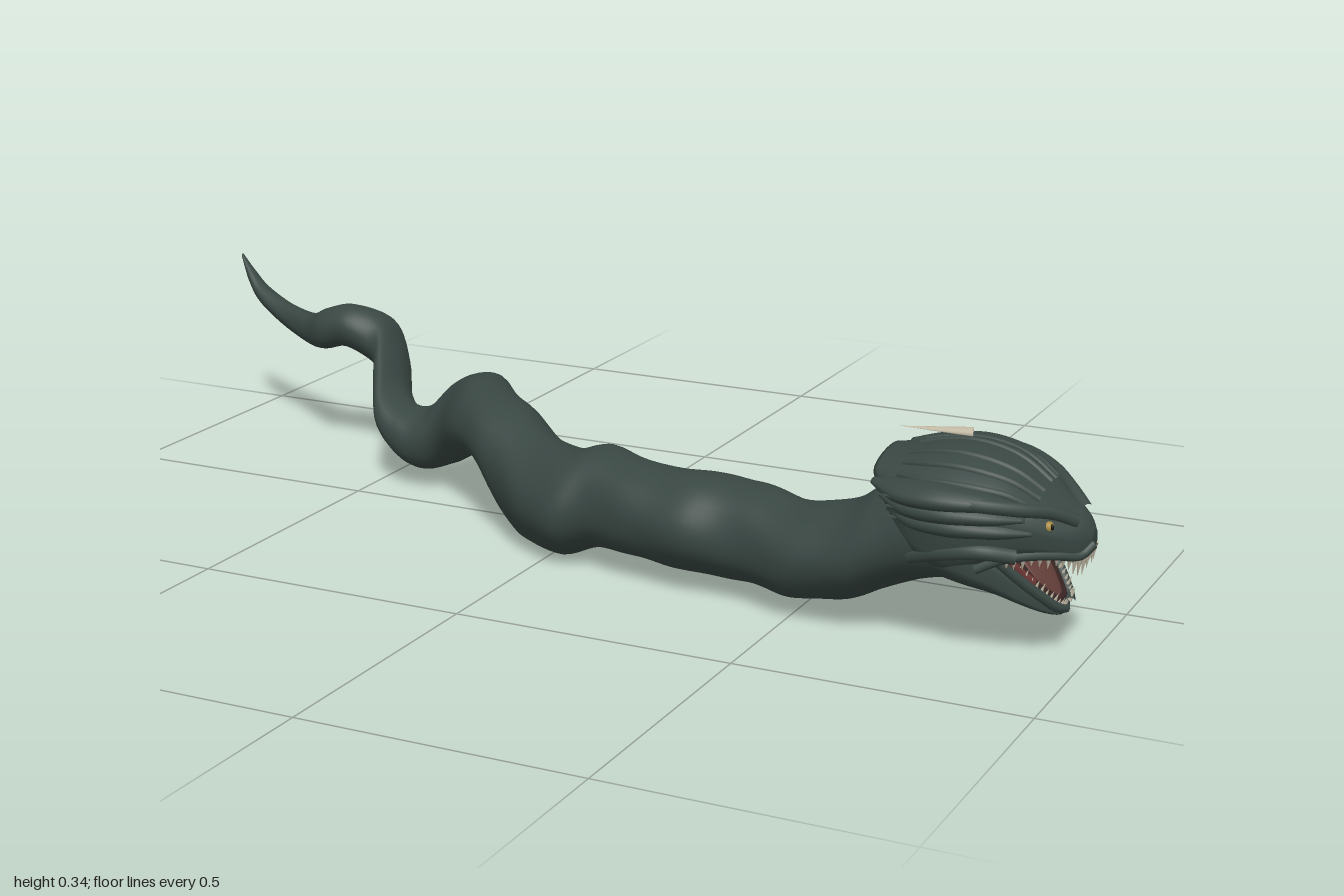
import * as THREE from 'three';

const mat = (name, color) => {
  const m = new THREE.MeshStandardMaterial({ color });
  m.name = name;
  return m;
};
const skin = mat('dark green skin', 0x394743);
const flesh = mat('mouth flesh', 0x643f3a);
const cheekRed = mat('cheek red', 0x6a3634);
const throat = mat('dark throat', 0x3a2625);
const ivory = mat('tooth ivory', 0xc4bba6);
const amber = mat('amber eye', 0xa8893a);
const black = mat('black pupil', 0x141614);

// Smooth interpolation of a table of rows
function sample(rows, u) {
  const f = u * (rows.length - 1), i = Math.min(Math.floor(f), rows.length - 2), t = f - i;
  const at = k => rows[Math.max(0, Math.min(rows.length - 1, k))];
  return rows[0].map((_, c) => {
    const [a, b, d, e] = [at(i - 1)[c], at(i)[c], at(i + 1)[c], at(i + 2)[c]];
    return b + 0.5 * t * (d - a + t * (2 * a - 5 * b + 4 * d - e + t * (3 * (b - d) + e - a)));
  });
}

function add(name, geometry, material) {
  const m = new THREE.Mesh(geometry, material);
  m.name = name;
  return m;
}

// Skin over cross-sections [x, bottom, top, halfWidth, zCentre]; powers below 1 flatten the top or bottom
function loft(name, rows, material, { top = 1, bottom = 1, steps = 6, sides = 28, bump = 0 } = {}) {
  const n = (rows.length - 1) * steps, pos = [], idx = [];
  const pw = (v, p) => Math.sign(v) * Math.pow(Math.abs(v), p);
  for (let i = 0; i <= n; i++) {
    const [x, b, t, w, z = 0] = sample(rows, i / n);
    for (let j = 0; j < sides; j++) {
      const a = j / sides * Math.PI * 2, p = Math.sin(a) > 0 ? top : bottom;
      const k = 1 + bump * Math.sin(x * 38 + a * 2) * Math.sin(x * 17 - a * 3);
      pos.push(x, (b + t) / 2 + (t - b) / 2 * pw(Math.sin(a), p) * k, z + w * pw(Math.cos(a), p) * k);
    }
  }
  for (let i = 0; i < n; i++) for (let j = 0; j < sides; j++) {
    const a = i * sides + j, c = i * sides + (j + 1) % sides;
    idx.push(a, a + sides, c, c, a + sides, c + sides);
  }
  for (const [row, ring] of [[rows[0], 0], [rows[rows.length - 1], n]]) {
    const centre = pos.length / 3;
    pos.push(row[0], (row[1] + row[2]) / 2, row[4] || 0);
    for (let j = 0; j < sides; j++) {
      const a = ring * sides + j, c = ring * sides + (j + 1) % sides;
      ring ? idx.push(centre, c, a) : idx.push(centre, a, c);
    }
  }
  const g = new THREE.BufferGeometry();
  g.setAttribute('position', new THREE.Float32BufferAttribute(pos, 3));
  g.setIndex(idx);
  g.computeVertexNormals();
  return add(name, g, material);
}

// Cone from a base point along a direction, optionally flattened
function spike(name, base, dir, radius, length, material, flat = 1) {
  const g = new THREE.ConeGeometry(radius, length, 8).translate(0, length / 2, 0).scale(1, 1, flat);
  const m = add(name, g, material);
  const y = new THREE.Vector3(...dir).normalize();
  const x = new THREE.Vector3().crossVectors(y, new THREE.Vector3(0, 1, 0.01)).normalize();
  m.quaternion.setFromRotationMatrix(new THREE.Matrix4().makeBasis(x, y, new THREE.Vector3().crossVectors(x, y)));
  m.position.set(...base);
  return m;
}

function ridge(name, points, radius, material) {
  const curve = new THREE.CatmullRomCurve3(points.map(p => new THREE.Vector3(...p)));
  return add(name, new THREE.TubeGeometry(curve, 20, radius, 8), material);
}

// x, bottom, top, half width, z centre
const bodyRows = [
  [-1, .336, .345, .004, -.373], [-.97, .285, .318, .015, -.362], [-.93, .248, .288, .023, -.348],
  [-.85, .211, .262, .027, -.322], [-.77, .203, .264, .036, -.275], [-.71, .207, .289, .043, -.238],
  [-.65, .22, .305, .046, -.234], [-.58, .18, .283, .056, -.242], [-.54, .135, .235, .072, -.2],
  [-.5, .09, .18, .072, -.14], [-.45, .052, .155, .065, -.11], [-.4, .035, .16, .077, -.118],
  [-.35, .05, .21, .095, -.13], [-.28, .09, .244, .11, -.085], [-.2, .1, .238, .102, -.01],
  [-.13, .025, .222, .108, .03], [-.05, .005, .192, .112, .085], [.03, .01, .198, .107, .135],
  [.1, .032, .214, .092, .143], [.2, .038, .202, .09, .17], [.3, .033, .205, .1, .178],
  [.4, .03, .2, .092, .182], [.5, .03, .19, .1, .21], [.6, .05, .218, .1, .228],
  [.66, .075, .26, .108, .225], [.72, .1, .295, .118, .218], [.78, .112, .28, .12, .215], [.83, .12, .21, .1, .213]];

// x, bottom, top, half width
const skullRows = [
  [.65, .28, .312, .06], [.7, .21, .322, .108], [.74, .17, .332, .128], [.79, .155, .337, .135],
  [.84, .17, .33, .13], [.88, .187, .315, .113], [.92, .192, .287, .092], [.96, .188, .258, .063],
  [.985, .182, .242, .037], [.999, .195, .222, .012]];
const jawRows = [
  [.75, .125, .235, .11], [.81, .118, .228, .125], [.86, .107, .195, .108], [.9, .09, .15, .082],
  [.93, .077, .115, .056], [.95, .072, .09, .031], [.957, .075, .084, .012]];

// Flattened crest flap, wide at the cheek and tapering back
const crestRows = [
  [.66, .288, .296, .01, .09], [.71, .272, .305, .033, .105], [.78, .268, .311, .036, .112],
  [.85, .272, .302, .026, .104], [.9, .277, .286, .008, .09]];

function buildHead() {
  const head = new THREE.Group();
  head.name = 'head';
  head.add(loft('skull', skullRows, skin, { bottom: .45 }), loft('lowerJaw', jawRows, skin, { top: .4 }));

  // Mouth lining, throat, tongue and palate
  const lining = (rows, edge, a, b, w) => rows.slice(a, b).map(r => [r[0], r[edge] - .006, r[edge] + .005, r[3] * w]);
  head.add(loft('jawLining', lining(jawRows, 2, 2, 6, .78), throat, { top: .5 }));
  head.add(loft('palate', lining(skullRows, 1, 4, 9, .85), throat, { bottom: .5 }));
  head.add(loft('throat', [[.85, .165, .215, .05], [.87, .165, .205, .05], [.885, .163, .188, .035]], throat));
  head.add(loft('tongue', [[.88, .165, .182, .03], [.9, .145, .163, .037], [.92, .12, .142, .034], [.937, .098, .118, .02], [.945, .092, .104, .008]], flesh));

  for (const s of [-1, 1]) {
    // Lips and the red web at the mouth corner
    head.add(ridge('lowerLip', jawRows.slice(1).map(r => [r[0], r[2], s * r[3] * .92]), .009, skin));
    head.add(ridge('upperLip', skullRows.slice(4).map(r => [r[0], r[1] + .006, s * r[3] * .9]), .008, skin));
    head.add(ridge('cheekWeb', [[.875, .195, s * .088], [.885, .178, s * .08], [.9, .156, s * .066], [.915, .138, s * .054]], .009, cheekRed));

    // Brow and cheek folds
    head.add(ridge('brow', [[.975, .243, s * .025], [.945, .262, s * .05], [.9, .277, s * .092], [.84, .288, s * .122], [.76, .29, s * .125]], .012, skin));
    head.add(ridge('cheekFold', [[.9, .2, s * .1], [.85, .21, s * .124], [.79, .2, s * .125], [.73, .18, s * .11]], .013, skin));

    // Layered crest flaps with ragged rear points
    for (let i = 0; i < 3; i++) {
      const flap = crestRows.map(([x, b, t, w, z]) => [x + i * .012, b - i * .022, t - i * .022, w, s * (z - i * .003)]);
      head.add(loft('crestFlap', flap, skin, { sides: 16 }));
      head.add(spike('crestPoint', [.76, .285 - i * .022, s * (.125 - i * .01)], [-1, .05, s * .1], .018, .08, skin, .4));
    }

    // Low ridges running back over the crown
    for (const f of [.22, .48, .72]) {
      const line = skullRows.slice(1, 7).map(([x, b, t, w]) =>
        [x, (b + t) / 2 + (t - b) / 2 * Math.sqrt(1 - f * f) - .003, s * f * w]);
      head.add(ridge('crownRidge', line, .007, skin));
    }

    // Small eyes sunk below the brow
    const eye = add('eye', new THREE.SphereGeometry(.01, 16, 12), amber);
    eye.position.set(.941, .243, s * .063);
    const pupil = add('pupil', new THREE.SphereGeometry(.0045, 10, 8).scale(.7, 1.2, .7), black);
    pupil.position.set(.949, .245, s * .067);
    head.add(eye, pupil);

    // Teeth along both jaws, longest at the front
    for (let i = 0; i < 13; i++) {
      const u = i / 12, up = sample(skullRows.slice(5), .05 + u * .83), low = sample(jawRows.slice(2), .15 + u * .75);
      const size = .017 + (i % 3) * .003;
      head.add(spike('upperTooth', [up[0], up[1] + .003, s * up[3] * .86], [-.1, -1, 0], .005, size + (i > 8 ? .014 : 0), ivory));
      head.add(spike('lowerTooth', [low[0], low[2], s * low[3] * .84], [.45, 1, 0], .004, size, ivory));
    }
  }

  // Pale splinter on the crown
  head.add(spike('crownSplinter', [.775, .333, -.063], [-1, .06, .28], .017, .12, ivory, .3));

  // The head tilts slightly toward its left
  head.rotation.x = .1;
  head.position.z = .195;
  return head;
}

export function createModel() {
  const model = new THREE.Group();
  model.name = 'seaSerpent';
  model.add(loft('body', bodyRows, skin, { steps: 8, sides: 36, bump: .025 }), buildHead());
  return model;
}
